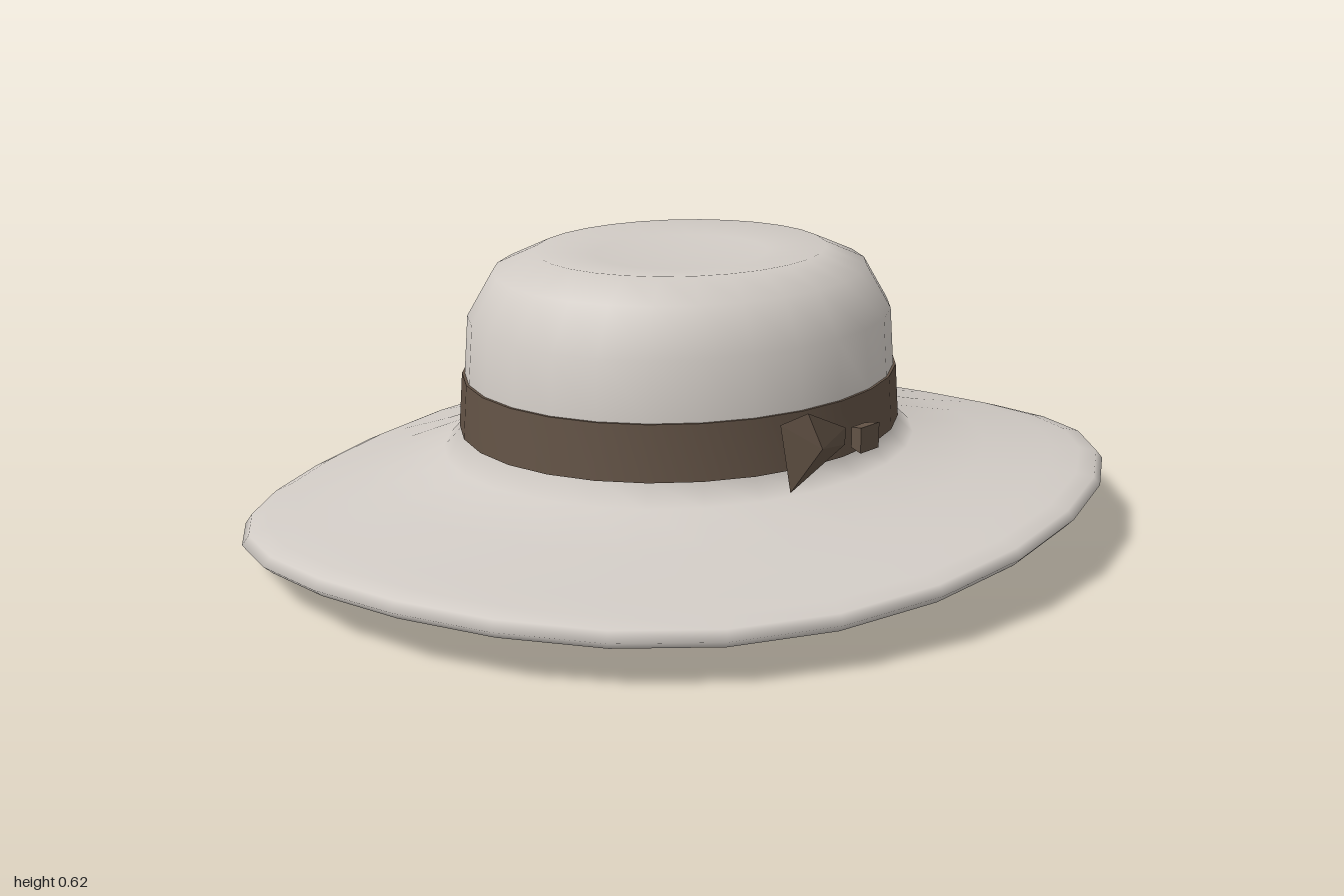
import * as THREE from 'three';
import { mergeVertices } from 'three/addons/utils/BufferGeometryUtils.js';

const SIDES = 28;
const DEPTH = 0.9; // the hat is oval: narrower front to back

// Oval lathe from [radius, height, sway] rows; sway is how far a row follows
// the tilt and wave of the brim.
function ovalLathe(profile) {
  const points = profile.map(([r, y]) => new THREE.Vector2(r, y));
  let geo = new THREE.LatheGeometry(points, SIDES);
  const pos = geo.attributes.position;
  for (let i = 0; i < pos.count; i++) {
    const sway = profile[i % profile.length][2] ?? 0;
    const angle = (Math.floor(i / profile.length) / SIDES) * Math.PI * 2;
    const lift = sway * (0.047 * Math.cos(angle) + 0.026 * Math.sin(3 * angle));
    pos.setXYZ(i, pos.getX(i), pos.getY(i) + lift, pos.getZ(i) * DEPTH);
  }
  // Weld the seam so the shading stays smooth all round
  geo.deleteAttribute('uv');
  geo.deleteAttribute('normal');
  geo = mergeVertices(geo, 1e-4);
  geo.computeVertexNormals();
  return geo;
}

// Solid with a pointed front and a hollowed back over one clockwise outline.
function facetedLoop(outline, front, back) {
  const v = [];
  outline.forEach((p, i) => {
    const q = outline[(i + 1) % outline.length];
    v.push(...front, ...q, ...p, ...back, ...p, ...q);
  });
  const geo = new THREE.BufferGeometry();
  geo.setAttribute('position', new THREE.Float32BufferAttribute(v, 3));
  geo.computeVertexNormals();
  return geo;
}

export function createModel() {
  const felt = new THREE.MeshStandardMaterial({ color: 0xd1cbc5 });
  felt.name = 'felt';
  const ribbon = new THREE.MeshStandardMaterial({ color: 0x625245 });
  ribbon.name = 'ribbon';

  const hat = new THREE.Group();
  hat.name = 'hat';
  const add = (name, geo, material) => {
    const mesh = new THREE.Mesh(geo, material);
    mesh.name = name;
    hat.add(mesh);
    return mesh;
  };

  // Brim and crown in one sweep: underside, rounded turned-down lip, brim, crown
  add('brimAndCrown', ovalLathe([
    [0, 0.096, 0], [0.52, 0.096, 0], [0.72, 0.098, 0.42], [0.88, 0.1, 0.75],
    [0.925, 0.096, 0.84], [0.95, 0.066, 0.92], [0.98, 0.063, 0.96],
    [1, 0.08, 1], [0.985, 0.099, 0.97], [0.945, 0.111, 0.88],
    [0.88, 0.123, 0.75], [0.72, 0.153, 0.42], [0.55, 0.192, 0.06],
    [0.505, 0.235], [0.498, 0.35], [0.488, 0.48],
    [0.43, 0.575], [0.335, 0.615], [0.2, 0.603], [0, 0.593],
  ]), felt);

  // Hat band: a thin sleeve with closed top and bottom lips
  const bands = [
    ['band', [[0.513, 0.235], [0.504, 0.353]]],
    ['bandTopLip', [[0.504, 0.353], [0.494, 0.353]]],
    ['bandBottomLip', [[0.5, 0.235], [0.513, 0.235]]],
  ];
  bands.forEach(([name, profile]) => add(name, ovalLathe(profile), ribbon));

  // Bow loop on the front
  add('bowLoop', facetedLoop([
    [-0.235, 0.36, 0.488], [-0.18, 0.377, 0.512], [-0.03, 0.31, 0.488],
    [-0.03, 0.274, 0.488], [-0.23, 0.225, 0.512],
  ], [-0.165, 0.306, 0.538], [-0.16, 0.3, 0.512]), ribbon);

  // Bow knot, slightly narrower at the back
  const knot = new THREE.BoxGeometry(0.06, 0.054, 0.03);
  const p = knot.attributes.position;
  for (let i = 0; i < p.count; i++) {
    if (p.getZ(i) < 0) p.setXY(i, p.getX(i) * 0.75, p.getY(i) * 0.8);
  }
  knot.computeVertexNormals();
  add('bowKnot', knot, ribbon).position.set(0, 0.29, 0.513);

  // Rest the lowest point of the brim on the ground
  hat.position.y = -new THREE.Box3().setFromObject(hat, true).min.y;
  return hat;
}
